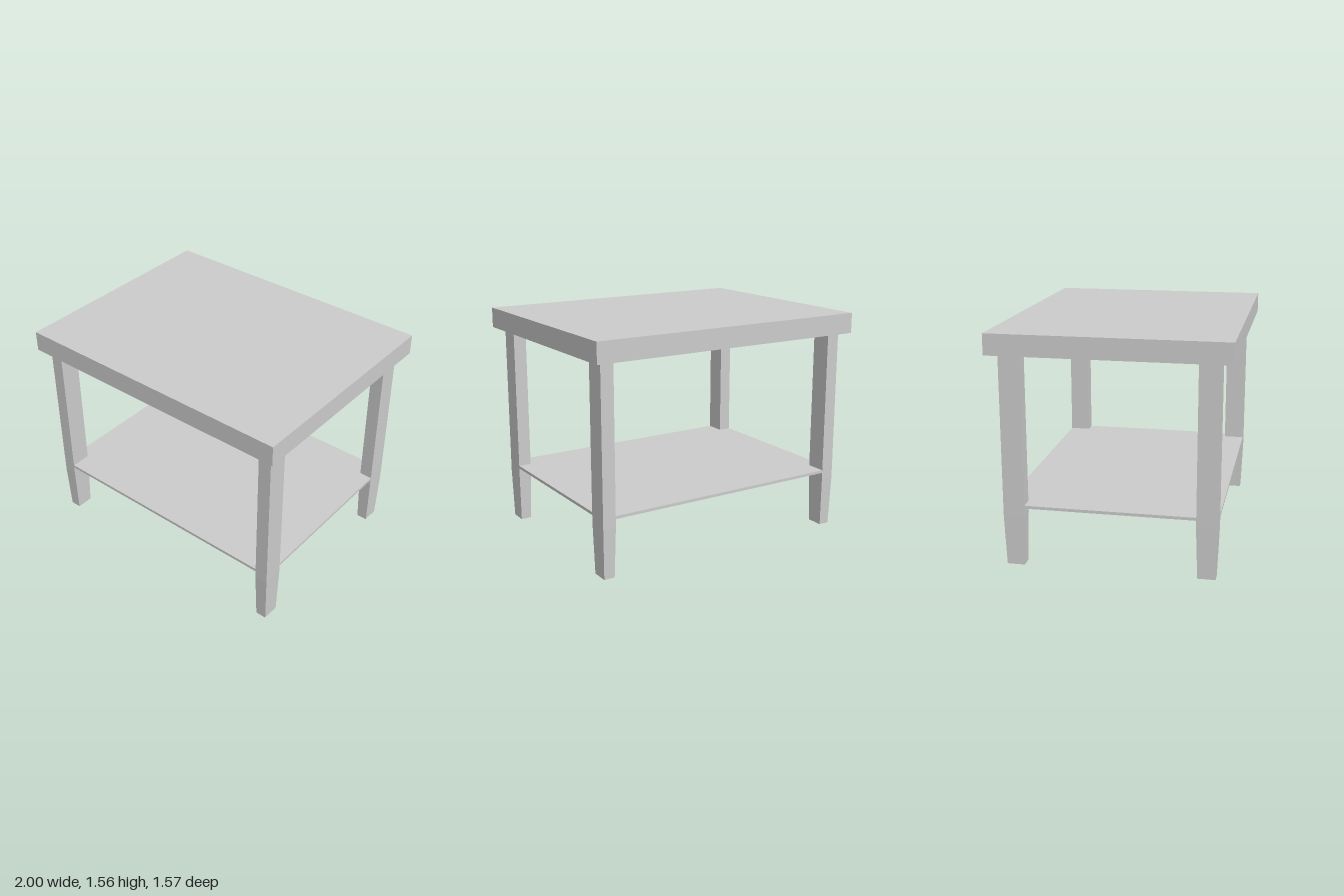
import * as THREE from 'three';

const material = new THREE.MeshStandardMaterial({ color: 0xcccccc, flatShading: true });

const TOP = { w: 2, h: 0.14, d: 1.566 };
const LEG = { w: 0.091, h: 1.42, d: 0.143, taperY: 0.35, footScale: 0.83 };
const LEG_X = [-0.907, 0.891];
const LEG_Z = [-0.633, 0.636];
const SHELF = { y: 0.41, h: 0.02 };

function addMesh(parent, name, geometry, x, y, z) {
  const mesh = new THREE.Mesh(geometry, material);
  mesh.name = name;
  mesh.position.set(x, y, z);
  parent.add(mesh);
  return mesh;
}

// Square-cut post, straight above taperY and narrowing evenly to the foot
function legGeometry() {
  const geometry = new THREE.BoxGeometry(LEG.w, LEG.h, LEG.d, 1, 2, 1);
  geometry.translate(0, LEG.h / 2, 0);
  const p = geometry.attributes.position;
  for (let i = 0; i < p.count; i++) {
    const y = p.getY(i);
    if (y < 0.01) {
      p.setX(i, p.getX(i) * LEG.footScale);
      p.setZ(i, p.getZ(i) * LEG.footScale);
    } else if (y < LEG.h - 0.01) {
      p.setY(i, LEG.taperY);
    }
  }
  const flat = geometry.toNonIndexed();
  flat.computeVertexNormals();
  return flat;
}

export function createModel() {
  const table = new THREE.Group();
  table.name = 'sideTable';

  // Thick slab top
  addMesh(table, 'tableTop', new THREE.BoxGeometry(TOP.w, TOP.h, TOP.d), 0, LEG.h + TOP.h / 2, 0);

  // Four tapered legs
  const leg = legGeometry();
  LEG_Z.forEach((z, back) => {
    LEG_X.forEach((x, left) => {
      addMesh(table, (back ? 'front' : 'back') + (left ? 'Left' : 'Right') + 'Leg', leg, x, 0, z);
    });
  });

  // Thin lower shelf, flush with the outer faces of the legs
  const inset = 0.001;
  const shelfW = LEG_X[1] - LEG_X[0] + LEG.w - inset;
  const shelfD = LEG_Z[1] - LEG_Z[0] + LEG.d - inset;
  addMesh(table, 'lowerShelf', new THREE.BoxGeometry(shelfW, SHELF.h, shelfD),
    (LEG_X[0] + LEG_X[1]) / 2, SHELF.y, (LEG_Z[0] + LEG_Z[1]) / 2);

  return table;
}
